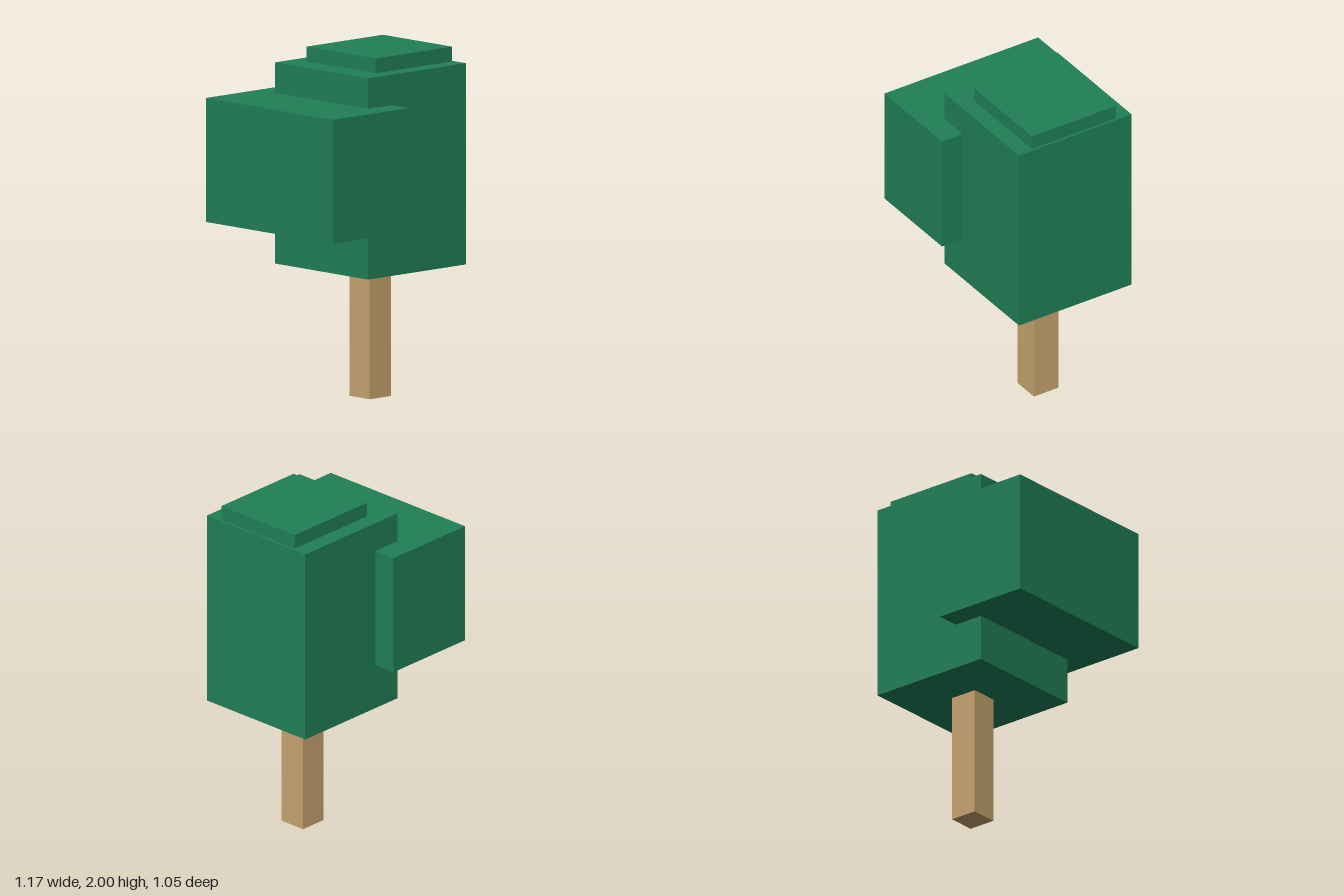
import * as THREE from 'three';

const leaf = new THREE.MeshStandardMaterial({ color: 0x208058 });
const bark = new THREE.MeshStandardMaterial({ color: 0xc8a570 });

// Box given by its [min, max] extents along each axis
function block(name, material, [x0, x1], [y0, y1], [z0, z1]) {
  const mesh = new THREE.Mesh(new THREE.BoxGeometry(x1 - x0, y1 - y0, z1 - z0), material);
  mesh.position.set((x0 + x1) / 2, (y0 + y1) / 2, (z0 + z1) / 2);
  mesh.name = name;
  return mesh;
}

export function createModel() {
  const tree = new THREE.Group();
  tree.name = 'tree';
  tree.add(
    // Square trunk, reaching just into the foliage
    block('trunk', bark, [0.117, 0.285], [0, 0.78], [-0.083, 0.083]),
    // Main foliage block
    block('mainFoliage', leaf, [-0.18, 0.585], [0.758, 1.915], [-0.383, 0.383]),
    // Wide foliage block on the right
    block('sideFoliage', leaf, [-0.588, 0.005], [1.027, 1.74], [-0.523, 0.523]),
    // Thin cap on top
    block('topFoliage', leaf, [-0.028, 0.57], [1.9, 2], [-0.285, 0.285])
  );
  return tree;
}
